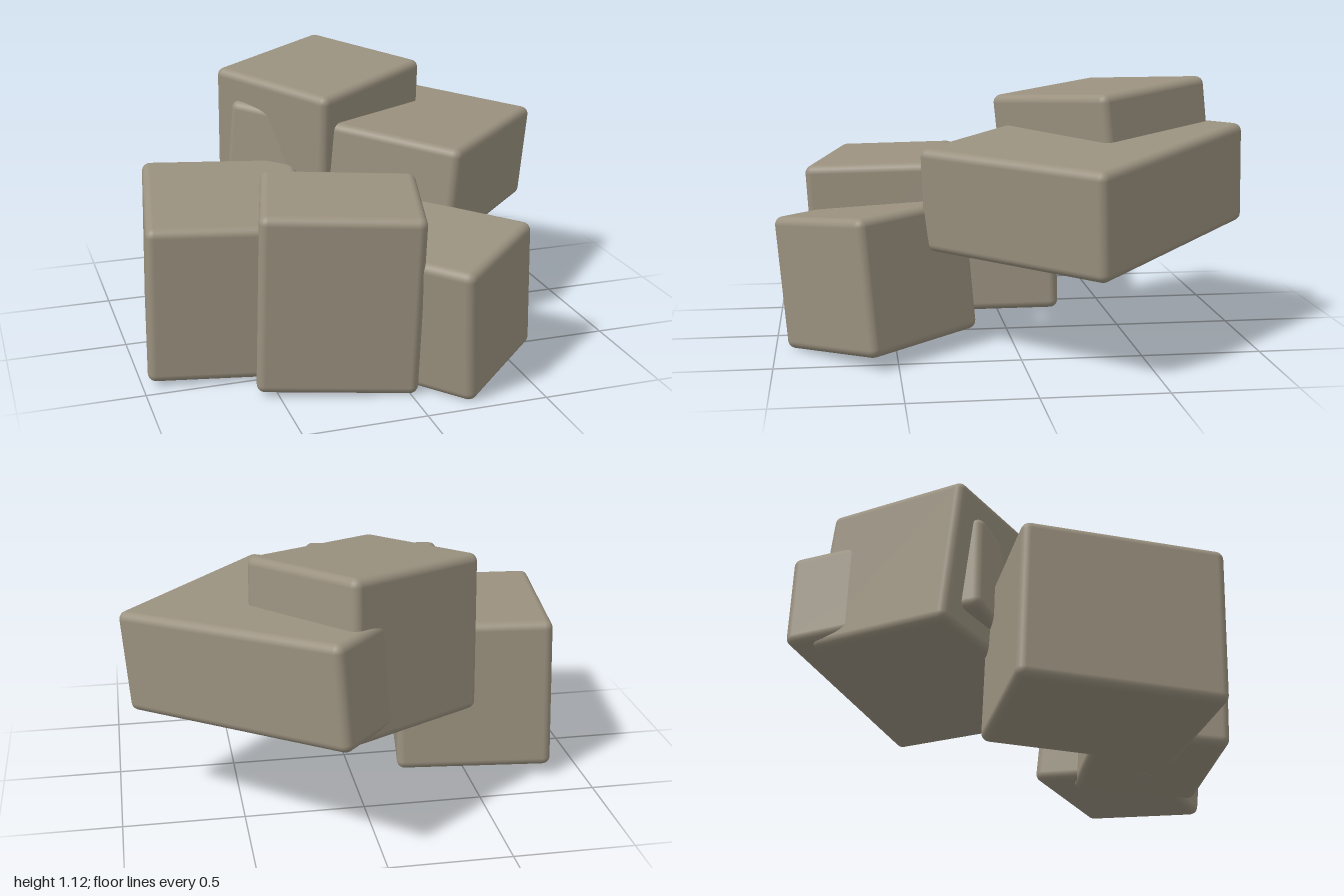
import * as THREE from 'three';
import { RoundedBoxGeometry } from 'three/addons/geometries/RoundedBoxGeometry.js';

const stone = new THREE.MeshStandardMaterial({ color: 0x9a917f });
stone.name = 'warm grey stone';

const Y = new THREE.Vector3(0, 1, 0);

// A worn block: turned by yaw (degrees), then leaned so its top faces "lean" (x, z slope)
function block(name, size, centre, yaw, lean) {
  const mesh = new THREE.Mesh(new RoundedBoxGeometry(...size, 3, 0.035), stone);
  mesh.name = name;
  mesh.position.set(...centre);
  const up = new THREE.Vector3(lean[0], 1, lean[1]).normalize();
  mesh.quaternion
    .setFromUnitVectors(Y, up)
    .multiply(new THREE.Quaternion().setFromAxisAngle(Y, THREE.MathUtils.degToRad(yaw)));
  return mesh;
}

export function createModel() {
  const group = new THREE.Group();
  group.name = 'stonePile';
  group.add(
    // ground layer
    block('sideStone', [0.67, 0.66, 0.82], [-0.58, 0.375, 0.105], -9, [0.02, 0.045]),
    block('frontStone', [0.64, 0.75, 0.54], [-0.207, 0.415, 0.51], -15, [0.02, 0.055]),
    block('cornerStone', [0.55, 0.56, 0.61], [0.19, 0.33, 0.575], 41, [-0.065, 0.085]),
    // raised layer
    block('slabStone', [0.9, 0.43, 1.1], [0.255, 0.695, -0.305], 46, [0.0765, 0.041]),
    block('topStone', [0.7, 0.65, 0.63], [-0.004, 0.77, -0.43], 34.5, [-0.012, 0.104])
  );
  return group;
}
